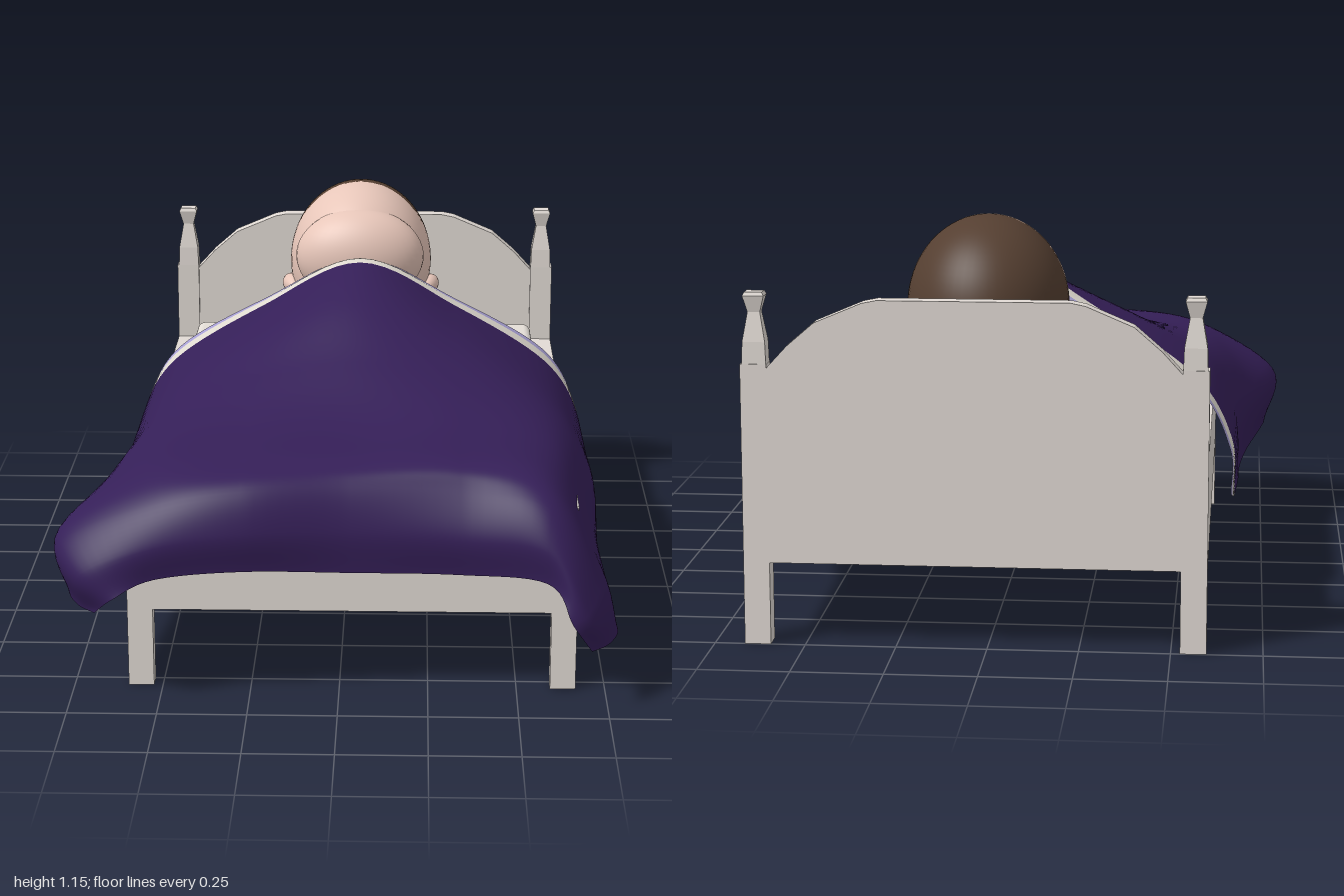
import * as THREE from 'three';
import { RoundedBoxGeometry } from 'three/addons/geometries/RoundedBoxGeometry.js';
import { ParametricGeometry } from 'three/addons/geometries/ParametricGeometry.js';

const CX = 0.035; // centre line of the bed
const clamp01 = (t) => Math.max(0, Math.min(1, t));

function material(name, color, extra = {}) {
  const m = new THREE.MeshStandardMaterial({ color, ...extra });
  m.name = name;
  return m;
}

export function createModel() {
  const model = new THREE.Group();
  model.name = 'bedWithSleeper';

  const frameMat = material('paintedWood', 0xe2dbd5, { flatShading: true });
  const linenMat = material('linen', 0xe4ded7);
  const skinMat = material('skin', 0xe8c7ba);
  const hairMat = material('hair', 0x553f31);
  const blanketMat = material('purpleBlanket', 0x351f58, { side: THREE.DoubleSide });
  const foldMat = material('creamBand', 0xe2ddd3, { side: THREE.DoubleSide });
  const liningMat = material('lilacLining', 0xaaa2d6, { side: THREE.DoubleSide });

  const add = (parent, name, geometry, mat, x = 0, y = 0, z = 0) => {
    const mesh = new THREE.Mesh(geometry, mat);
    mesh.name = name;
    mesh.position.set(x, y, z);
    parent.add(mesh);
    return mesh;
  };
  // Box given by its lower and upper corners
  const box = (parent, name, [x0, y0, z0], [x1, y1, z1]) =>
    add(parent, name, new THREE.BoxGeometry(x1 - x0, y1 - y0, z1 - z0), frameMat,
      (x0 + x1) / 2, (y0 + y1) / 2, (z0 + z1) / 2);

  // Bed frame
  const bed = new THREE.Group();
  bed.name = 'bedFrame';
  bed.position.x = CX;
  model.add(bed);

  // Square finials: half-width and height
  const finialProfile = [[0.033, 0], [0.031, 0.06], [0.017, 0.14], [0.029, 0.185], [0.024, 0.195], [0, 0.195]]
    .map(([half, y]) => new THREE.Vector2(half * Math.SQRT2, y));
  for (const s of [-1, 1]) {
    const side = s > 0 ? 'left' : 'right';
    const span = (a, b) => [Math.min(s * a, s * b), Math.max(s * a, s * b)];
    const [p0, p1] = span(0.56, 0.632);
    box(bed, side + 'HeadPost', [p0, 0, -1], [p1, 0.78, -0.94]);
    box(bed, side + 'FootLeg', [p0, 0, 0.75], [p1, 0.5, 0.8]);
    const [r0, r1] = span(0.56, 0.632);
    box(bed, side + 'Rail', [r0, 0.23, -0.94], [r1, 0.53, 0.75]);
    const finial = add(bed, side + 'Finial', new THREE.LatheGeometry(finialProfile, 4, Math.PI / 4), frameMat, s * 0.594, 0.78, -0.97);
    finial.scale.z = 0.85;
  }
  box(bed, 'footboard', [-0.56, 0.23, 0.75], [0.56, 0.53, 0.8]);
  box(bed, 'bedBase', [-0.56, 0.27, -0.95], [0.56, 0.5, 0.75]);

  // Headboard with a faceted arch
  const arch = [[0.56, 0.77], [0.505, 0.83], [0.43, 0.895], [0.3, 0.95], [0.26, 0.958]];
  const outline = new THREE.Shape([
    new THREE.Vector2(-0.56, 0.23), new THREE.Vector2(0.56, 0.23),
    ...arch.map(([x, y]) => new THREE.Vector2(x, y)),
    ...arch.slice().reverse().map(([x, y]) => new THREE.Vector2(-x, y)),
  ]);
  add(bed, 'headboard', new THREE.ExtrudeGeometry(outline, { depth: 0.05, bevelEnabled: false }), frameMat, 0, 0, -1);

  // Mattress and pillow
  add(model, 'mattress', new RoundedBoxGeometry(1.12, 0.14, 1.62, 4, 0.025), linenMat, CX, 0.53, -0.08);
  add(model, 'pillow', new RoundedBoxGeometry(0.5, 0.115, 0.255, 4, 0.02), linenMat, 0.003, 0.657, -0.758);

  // Head: faces of one ellipsoid are sorted into skin and hair
  const head = new THREE.Group();
  head.name = 'head';
  head.position.set(0.03, 0.89, -0.62);
  model.add(head);
  const skull = new THREE.SphereGeometry(1, 56, 40).scale(0.227, 0.256, 0.27);
  const pos = skull.attributes.position, faces = { skin: [], hair: [] };
  for (let i = 0; i < skull.index.count; i += 3) {
    const tri = [0, 1, 2].map((k) => skull.index.getX(i + k));
    const mean = (axis) => tri.reduce((sum, v) => sum + pos.getComponent(v, axis), 0) / 3;
    const x = mean(0), y = mean(1), z = mean(2);
    // Hairline across the forehead, set back at the temples, low at the nape
    const hairline = y > -0.07 ? 0.01 + 0.25 * x * x - 0.25 * Math.max(0, 0.12 - Math.abs(y - 0.05)) : 0.1;
    const isHair = z < hairline || y < -0.1 - 0.12 * Math.max(0, z - 0.05);
    faces[isHair ? 'hair' : 'skin'].push(...tri);
  }
  for (const [name, part, mat] of [['face', 'skin', skinMat], ['hair', 'hair', hairMat]]) {
    const g = skull.clone();
    g.setIndex(faces[part]);
    add(head, name, g, mat);
  }
  // Full front of the face, and ears
  add(head, 'faceFront', new THREE.SphereGeometry(1, 40, 28).scale(0.203, 0.152, 0.118), skinMat, 0, 0.048, 0.157);
  for (const s of [-1, 1]) {
    const ear = add(head, s > 0 ? 'leftEar' : 'rightEar',
      new THREE.SphereGeometry(1, 20, 14).scale(0.03, 0.03, 0.058), skinMat, s * 0.222, -0.075, 0.035);
    ear.rotation.y = -s * 0.2;
  }

  // Blanket: half cross-sections from the ridge out to the hem, head to foot
  const sections = [
    [[0, 0.955, -0.365], [0.3, 0.815, -0.4], [0.58, 0.64, -0.445], [0.685, 0.46, -0.47], [0.69, 0.31, -0.42]],
    [[0, 0.97, -0.25], [0.3, 0.825, -0.275], [0.58, 0.64, -0.31], [0.69, 0.46, -0.33], [0.7, 0.29, -0.34]],
    [[0, 0.91, 0], [0.3, 0.81, 0], [0.58, 0.64, 0], [0.695, 0.45, 0], [0.71, 0.26, 0]],
    [[0, 0.79, 0.25], [0.3, 0.745, 0.25], [0.58, 0.635, 0.25], [0.7, 0.45, 0.25], [0.715, 0.25, 0.25]],
    [[0, 0.685, 0.5], [0.3, 0.68, 0.5], [0.58, 0.62, 0.5], [0.705, 0.43, 0.5], [0.735, 0.24, 0.5]],
    [[0, 0.66, 0.75], [0.3, 0.66, 0.75], [0.56, 0.62, 0.75], [0.73, 0.43, 0.75], [0.77, 0.24, 0.73]],
    [[0, 0.615, 0.84], [0.3, 0.615, 0.85], [0.55, 0.58, 0.88], [0.73, 0.42, 0.87], [0.78, 0.25, 0.83]],
    [[0, 0.5, 0.89], [0.3, 0.5, 0.91], [0.54, 0.48, 0.95], [0.69, 0.36, 0.97], [0.75, 0.24, 0.9]],
    [[0, 0.38, 0.89], [0.3, 0.385, 0.9], [0.54, 0.375, 0.945], [0.63, 0.31, 0.995], [0.7, 0.24, 0.955]],
  ];
  // The left corner hangs low and close, the right one bulges and sweeps forward
  const place = ([x, y, z], s) => {
    const corner = clamp01((x - 0.55) / 0.13) * clamp01((z - 0.3) / 0.4);
    const wave = clamp01((z - 0.75) / 0.1) * clamp01(1 - Math.abs(x - 0.3) / 0.3);
    const spread = s > 0 ? -0.035 : 0.4 * (y - 0.22);
    return new THREE.Vector3(
      CX + s * (x + corner * spread),
      y + corner * (s > 0 ? -0.06 : 0.03) - s * 0.012 * wave,
      z + wave * (s > 0 ? -0.02 : 0.035) - (s < 0 ? 0.025 * corner : 0));
  };
  const rows = sections.map((half) => new THREE.CatmullRomCurve3([
    ...half.slice(1).reverse().map((p) => place(p, 1)),
    ...half.map((p) => place(p, -1)),
  ], false, 'catmullrom', 0.5));
  const columns = new Map();
  const sheetPoint = (u, v, target) => {
    if (!columns.has(u)) {
      columns.set(u, new THREE.CatmullRomCurve3(rows.map((r) => r.getPoint(u)), false, 'catmullrom', 0.5));
    }
    columns.get(u).getPoint(v, target);
  };
  const blanket = new THREE.Group();
  blanket.name = 'blanket';
  model.add(blanket);
  const strip = (name, v0, v1, steps, mat) => add(blanket, name,
    new ParametricGeometry((u, v, target) => sheetPoint(u, v0 + v * (v1 - v0), target), 64, steps), mat);
  strip('lilacEdge', 0, 0.053, 6, liningMat);
  strip('creamBand', 0.053, 0.125, 8, foldMat);
  strip('cover', 0.125, 1, 64, blanketMat);

  return model;
}
